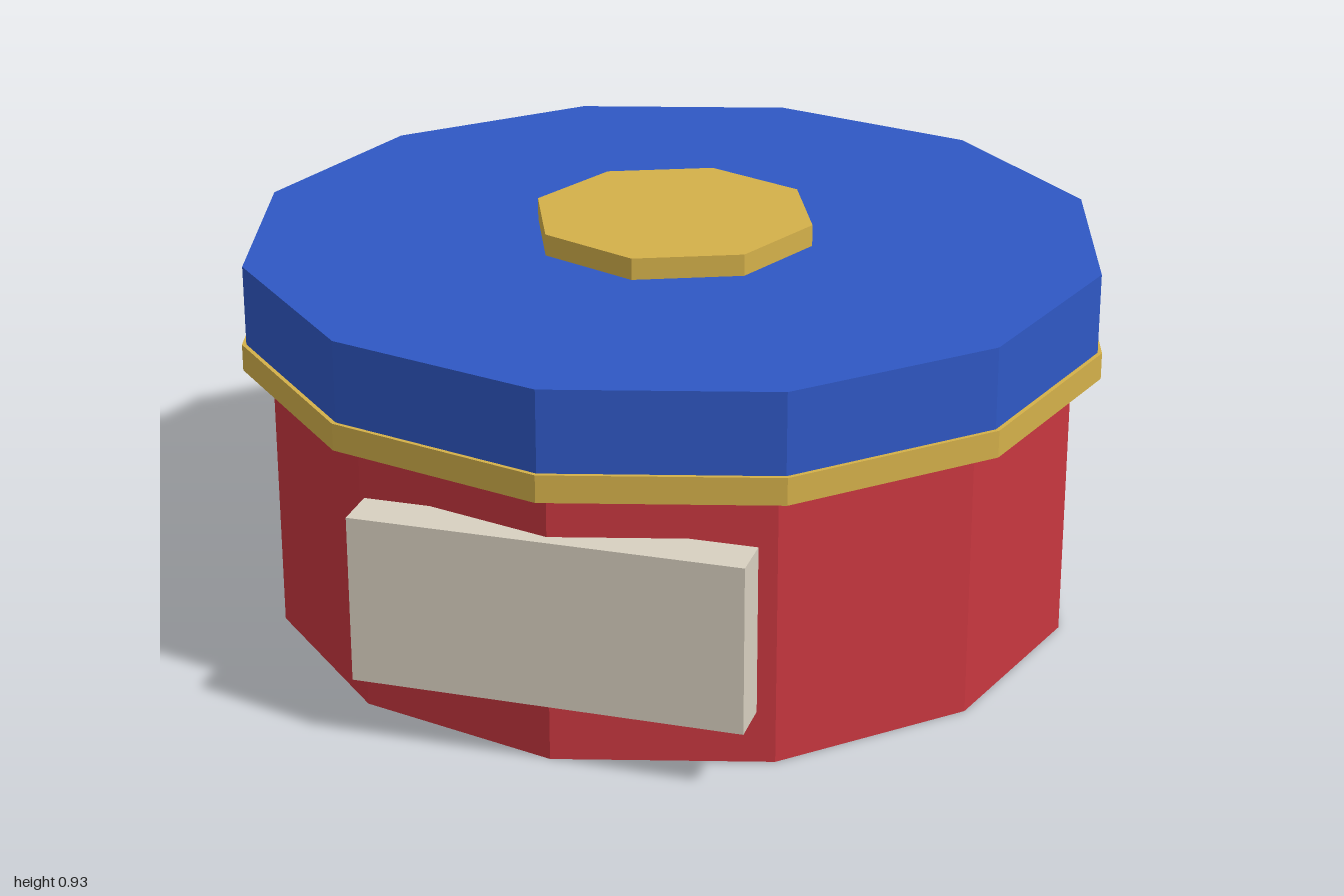
import * as THREE from 'three';

const material = (color) => new THREE.MeshStandardMaterial({ color, flatShading: true });

export function createModel() {
  const model = new THREE.Group();
  const red = material(0xc8373f);
  const blue = material(0x2f58c4);
  const gold = material(0xd4b04a);
  const cream = material(0xd8d0c0);

  const add = (name, geometry, mat, x, y, z) => {
    const mesh = new THREE.Mesh(geometry, mat);
    mesh.name = name;
    mesh.position.set(x, y, z);
    model.add(mesh);
  };

  // Faceted disc spanning the heights bottom..top
  const disc = (name, radius, bottom, top, sides, mat) =>
    add(name, new THREE.CylinderGeometry(radius, radius, top - bottom, sides), mat, 0, (bottom + top) / 2, 0);

  // Round box: body, trim band, lid and lid medallion
  disc('body', 0.933, 0, 0.632, 12, red);
  disc('trimBand', 1, 0.632, 0.694, 12, gold);
  disc('lid', 0.99, 0.694, 0.88, 12, blue);
  disc('lidMedallion', 0.328, 0.88, 0.93, 8, gold);

  // Blank label plate on the front
  add('frontLabel', new THREE.BoxGeometry(0.874, 0.384, 0.106), cream, 0, 0.333, 0.909);

  return model;
}
